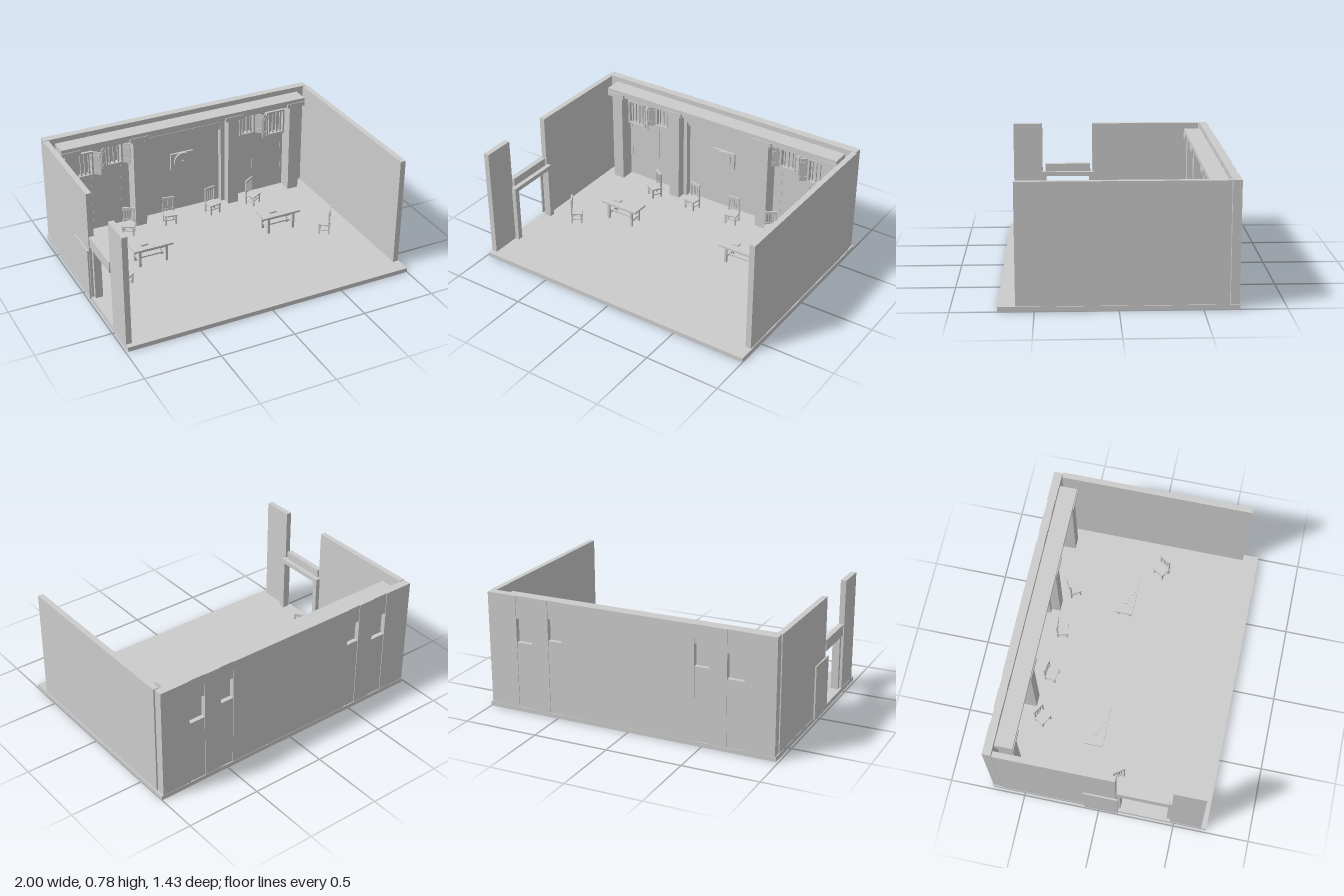
import * as THREE from 'three';

const material = new THREE.MeshStandardMaterial({ color: 0xcccccc, flatShading: true });
const FLOOR = 0.03;
const CX = 0.005; // middle of the room between the side walls

function add(parent, name, geometry, x = 0, y = 0, z = 0) {
  const mesh = new THREE.Mesh(geometry, material);
  mesh.name = name;
  mesh.position.set(x, y, z);
  parent.add(mesh);
  return mesh;
}

// Box given by its lower and upper limits on each axis
function block(parent, name, x0, x1, y0, y1, z0, z1) {
  return add(parent, name, new THREE.BoxGeometry(x1 - x0, y1 - y0, z1 - z0),
    (x0 + x1) / 2, (y0 + y1) / 2, (z0 + z1) / 2);
}

function group(parent, name, x = 0, y = 0, z = 0) {
  const g = new THREE.Group();
  g.name = name;
  g.position.set(x, y, z);
  parent.add(g);
  return g;
}

// Chair facing the direction (dx, dz)
function chair(parent, x, z, dx, dz) {
  const g = group(parent, 'chair', x, FLOOR, z);
  g.rotation.y = Math.atan2(dx, dz);
  block(g, 'seat', -0.045, 0.045, 0.066, 0.076, -0.04, 0.04);
  for (const s of [-1, 1]) {
    const x0 = s * 0.036;
    block(g, 'frontLeg', x0 - 0.005, x0 + 0.005, 0, 0.066, 0.026, 0.036);
    block(g, 'backPost', x0 - 0.005, x0 + 0.005, 0, 0.18, -0.038, -0.028);
    block(g, 'sideStretcher', x0 - 0.003, x0 + 0.003, 0.025, 0.032, -0.03, 0.03);
  }
  block(g, 'topRail', -0.042, 0.042, 0.165, 0.185, -0.039, -0.028);
  block(g, 'lowerRail', -0.036, 0.036, 0.088, 0.096, -0.037, -0.03);
  block(g, 'frontStretcher', -0.036, 0.036, 0.035, 0.042, 0.028, 0.034);
  for (const sx of [-0.016, 0, 0.016]) {
    block(g, 'backSlat', sx - 0.004, sx + 0.004, 0.096, 0.165, -0.036, -0.031);
  }
}

function table(parent, x, z) {
  const g = group(parent, 'table', x, FLOOR, z);
  block(g, 'tableTop', -0.14, 0.14, 0.12, 0.133, -0.062, 0.062);
  for (const s of [-1, 1]) {
    for (const t of [-1, 1]) {
      block(g, 'tableLeg', s * 0.095 - 0.008, s * 0.095 + 0.008, 0, 0.12, t * 0.042 - 0.008, t * 0.042 + 0.008);
    }
    block(g, 'endStretcher', s * 0.095 - 0.005, s * 0.095 + 0.005, 0.035, 0.048, -0.042, 0.042);
    block(g, 'apron', -0.095, 0.095, 0.105, 0.12, s * 0.042 - 0.004, s * 0.042 + 0.004);
  }
  block(g, 'longStretcher', -0.095, 0.095, 0.037, 0.047, -0.006, 0.006);
  block(g, 'book', -0.07, -0.02, 0.133, 0.143, -0.015, 0.016);
  const pen = add(g, 'pen', new THREE.CylinderGeometry(0.002, 0.002, 0.03, 6), 0.012, 0.135, 0.042);
  pen.rotation.set(0, -0.45, Math.PI / 2);
}

// Barred window on the inner face of the back wall; s mirrors it
function barredWindow(parent, x0, x1, y0, y1, bars) {
  const g = group(parent, 'window');
  const z0 = -0.66, z1 = -0.635, w = 0.012;
  block(g, 'windowSill', x0, x1, y0, y0 + w, z0, z1);
  block(g, 'windowHead', x0, x1, y1 - w, y1, z0, z1);
  block(g, 'windowSide', x0, x0 + w, y0, y1, z0, z1);
  block(g, 'windowSide', x1 - w, x1, y0, y1, z0, z1);
  block(g, 'pane', x0 + w, x1 - w, y0 + w, y1 - w, -0.682, -0.674);
  for (let i = 1; i <= bars; i++) {
    const x = x0 + (x1 - x0) * i / (bars + 1);
    block(g, 'windowBar', x - 0.005, x + 0.005, y0 + w, y1 - w, -0.655, -0.643);
  }
}

// Shutter hinged at x and swung into the room, opening toward side dir
function shutter(parent, x, y0, y1, dir) {
  const g = group(parent, 'shutter', x, 0, -0.65);
  g.rotation.y = -dir * 0.75;
  const a = Math.min(0, dir * 0.06), b = Math.max(0, dir * 0.06);
  block(g, 'shutterPanel', a, b, y0, y1, -0.004, 0.004);
  for (const y of [y0 + 0.03, y1 - 0.03]) {
    block(g, 'shutterBatten', a + 0.008, b - 0.008, y - 0.006, y + 0.006, -0.008, 0.008);
  }
}

export function createModel() {
  const model = new THREE.Group();
  model.name = 'room';
  block(model, 'floor', -0.984, 1.0, 0, FLOOR, -0.717, 0.717);

  // Side walls, the one at -x with a doorway
  const H = 0.78;
  block(model, 'leftWall', 0.957, 0.994, FLOOR, H, -0.655, 0.612);
  block(model, 'rightWall', -0.982, -0.945, FLOOR, H, -0.655, 0.115);
  block(model, 'rightWallEnd', -0.982, -0.945, FLOOR, H, 0.475, 0.682);
  block(model, 'doorLintel', -0.982, -0.945, 0.41, 0.485, 0.13, 0.455);
  const frame = group(model, 'doorFrame');
  block(frame, 'doorJamb', -0.965, -0.915, FLOOR, 0.40, 0.105, 0.14);
  block(frame, 'doorJamb', -0.965, -0.915, FLOOR, 0.40, 0.45, 0.485);
  block(frame, 'doorHeader', -0.965, -0.915, 0.40, 0.43, 0.105, 0.485);
  block(model, 'openDoor', -1.0, -0.99, FLOOR, 0.385, -0.095, 0.13);

  // Back wall: solid panels with narrow window bays between
  const ZB = -0.715, ZF = -0.66;
  const wall = group(model, 'backWall');
  block(wall, 'middlePanel', -0.45, 0.46, FLOOR, H, ZB, ZF);
  for (const s of [-1, 1]) {
    const span = (name, a, b, y0, y1, inset) =>
      block(wall, name, CX + Math.min(s * a, s * b), CX + Math.max(s * a, s * b), y0, y1, ZB + inset, ZF - inset / 2);
    span('cornerPanel', 0.78, 0.982, FLOOR, H, 0);
    span('panelBetweenWindows', 0.55, 0.668, FLOOR, H, 0);
    for (const [a, b, y0, y1] of [[0.668, 0.78, 0.47, 0.63], [0.455, 0.55, 0.515, 0.66]]) {
      span('bayBelowWindow', a, b, FLOOR, y0, 0.004);
      span('bayAboveWindow', a, b, y1, H, 0.004);
    }

    // Windows and shutters
    const win = (a, b, y0, y1, n) =>
      barredWindow(model, CX + Math.min(s * a, s * b), CX + Math.max(s * a, s * b), y0, y1, n);
    win(0.655, 0.798, 0.457, 0.64, 4);
    win(0.443, 0.563, 0.503, 0.672, 3);
    shutter(model, CX + s * 0.655, 0.465, 0.635, -s);
    shutter(model, CX + s * 0.563, 0.505, 0.65, s);
    shutter(model, CX + s * 0.443, 0.505, 0.65, -s);

    // Columns with plain capitals
    for (const c of [0.355, 0.838]) {
      const x = CX + s * c;
      block(model, 'column', x - 0.04, x + 0.04, FLOOR, 0.69, ZF, -0.56);
      block(model, 'capital', x - 0.067, x + 0.067, 0.69, 0.72, ZF, -0.54);
    }

    // Jamb of the central niche
    const j = CX + s * 0.3;
    block(model, 'nicheJamb', j - 0.014, j + 0.014, FLOOR, 0.66, ZF, -0.62);

    // Furniture
    table(model, CX + s * 0.477, -0.118);
    chair(model, CX + s * 0.74, 0.07, -s * 0.82, -0.57);
    chair(model, CX + s * 0.477, -0.495, s * 0.5, 0.85);
    chair(model, CX + s * 0.165, -0.505, s * 0.17, 0.98);
  }

  // Beam over the columns
  block(model, 'beam', CX - 0.905, CX + 0.905, 0.718, 0.745, ZF, -0.545);
  block(model, 'beamSoffit', CX - 0.89, CX + 0.89, 0.695, 0.718, ZF, -0.555);

  // Central niche with a round plaque
  block(model, 'nicheHeader', CX - 0.29, CX + 0.29, 0.63, 0.66, ZF, -0.615);
  block(model, 'nicheInnerHeader', CX - 0.29, CX + 0.29, 0.595, 0.63, ZF, -0.635);
  block(model, 'plaqueBoard', CX - 0.086, CX + 0.086, 0.353, 0.475, ZF, -0.645);
  const disc = add(model, 'plaqueDisc', new THREE.CylinderGeometry(0.062, 0.062, 0.014, 32), CX, 0.415, -0.64);
  disc.rotation.x = Math.PI / 2;
  const hub = add(model, 'plaqueHub', new THREE.CylinderGeometry(0.009, 0.009, 0.012, 12), CX, 0.415, -0.63);
  hub.rotation.x = Math.PI / 2;

  return model;
}
